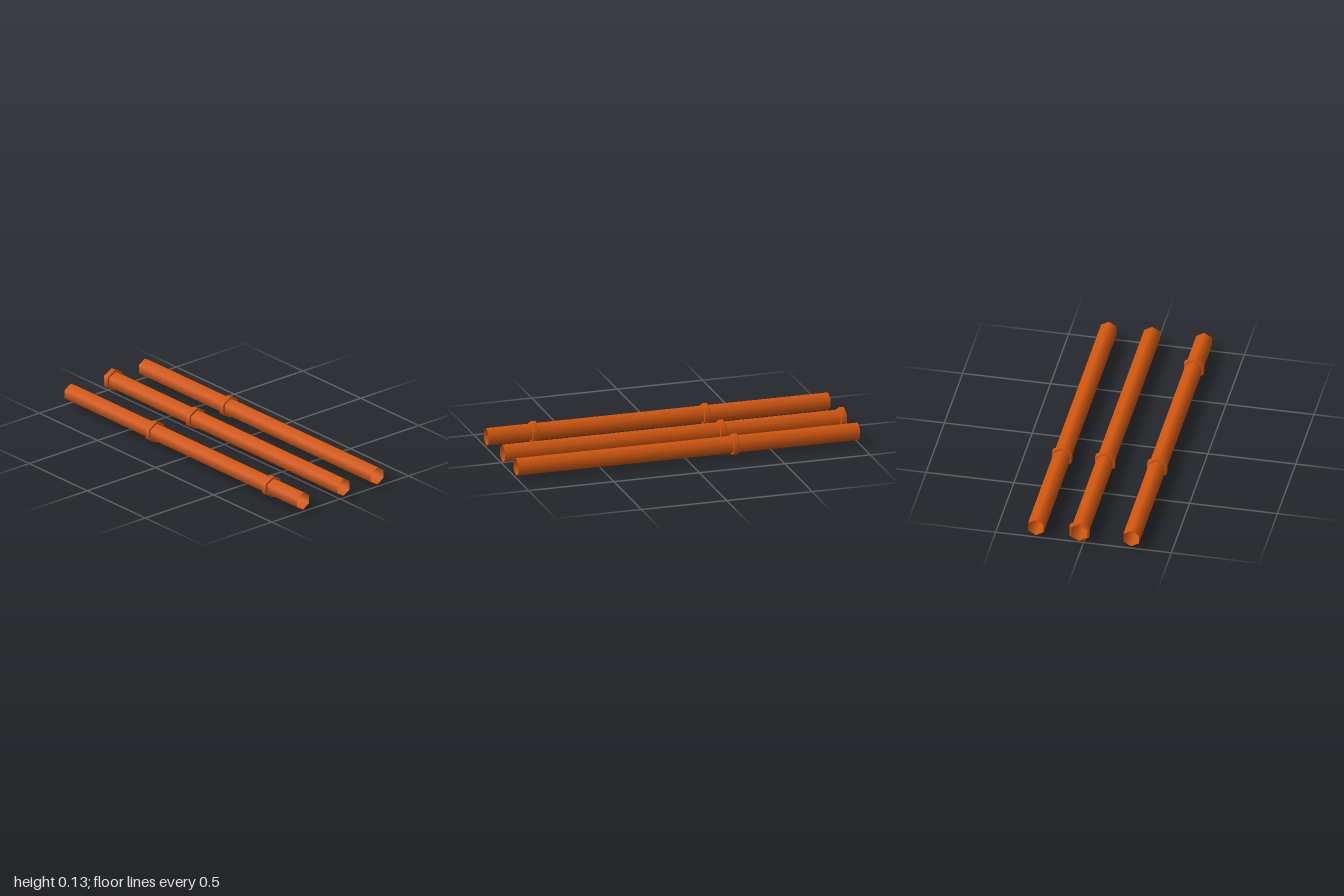
import * as THREE from 'three';

const PIPE_R = 0.0515, COLLAR_R = 0.064, COLLAR_HALF = 0.0175, SIDES = 6;

// Hexagonal ring profile swept around the x axis, with a corner pointing up
function hexSweep(profile) {
  const points = profile.map(([r, x]) => new THREE.Vector2(r, x));
  return new THREE.LatheGeometry(points, SIDES, Math.PI / 2).rotateZ(-Math.PI / 2);
}

export function createModel() {
  const rust = new THREE.MeshStandardMaterial({ color: 0xd4580f, side: THREE.DoubleSide });
  rust.name = 'rustOrange';

  const pipeGeometry = hexSweep([[PIPE_R, -1], [PIPE_R, 1]]);
  const collarGeometry = hexSweep([
    [PIPE_R, -COLLAR_HALF], [0.061, -COLLAR_HALF], [COLLAR_R, -0.014],
    [COLLAR_R, 0.014], [0.061, COLLAR_HALF], [PIPE_R, COLLAR_HALF],
  ]);

  // Each run: its depth and where its joint collars sit
  const runs = [
    { name: 'frontPipe', z: 0.271, collars: [-0.277, 0.727] },
    { name: 'middlePipe', z: -0.025, collars: [-1 + COLLAR_HALF, -0.277] },
    { name: 'backPipe', z: -0.271, collars: [-0.277] },
  ];

  const model = new THREE.Group();
  model.name = 'pipes';
  for (const { name, z, collars } of runs) {
    const run = new THREE.Group();
    run.name = name;
    run.position.set(0, COLLAR_R, z);

    // Open, hollow tube
    const tube = new THREE.Mesh(pipeGeometry, rust);
    tube.name = 'tube';
    run.add(tube);

    // Joint collars
    for (const x of collars) {
      const collar = new THREE.Mesh(collarGeometry, rust);
      collar.name = 'collar';
      collar.position.x = x;
      run.add(collar);
    }
    model.add(run);
  }
  return model;
}
